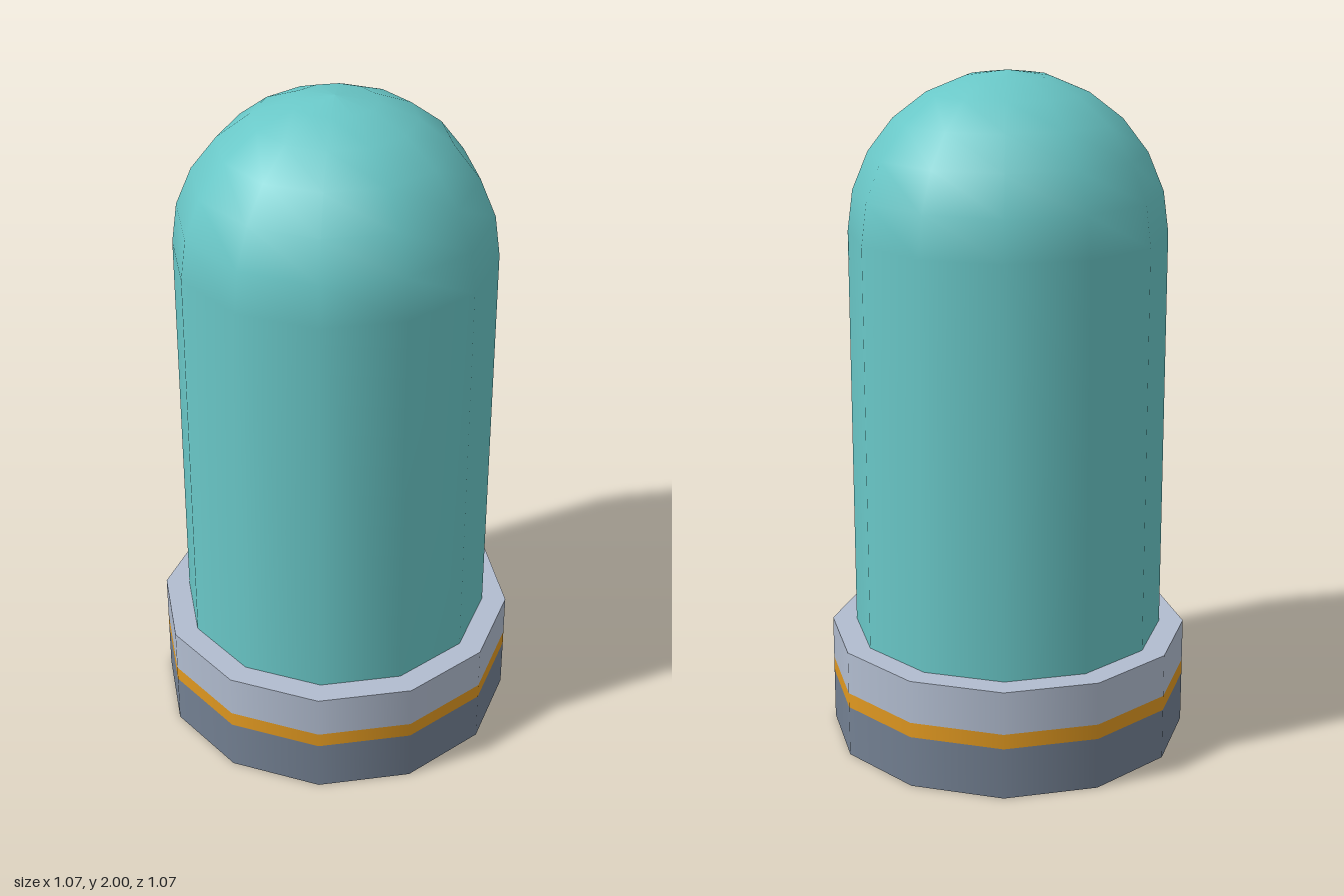
import * as THREE from 'three';

const SIDES = 12;
const R_TUBE = 0.464, R_BASE = 0.537;
const Y_RIM = 0.328, Y_STRIPE_TOP = 0.199, Y_STRIPE_LOW = 0.154;

function material(name, color) {
  const m = new THREE.MeshStandardMaterial({ color, side: THREE.DoubleSide });
  m.name = name;
  return m;
}

// Open shell turned around y from [radius, height] pairs, bottom to top
function shell(name, profile, mat) {
  const points = profile.map(([r, y]) => new THREE.Vector2(r, y));
  const mesh = new THREE.Mesh(new THREE.LatheGeometry(points, SIDES), mat);
  mesh.name = name;
  return mesh;
}

export function createModel() {
  const teal = material('teal glass', 0x69c7c7);
  const lightGrey = material('light grey', 0xb1bccf);
  const darkGrey = material('dark grey', 0x738092);
  const orange = material('orange', 0xe09820);

  const model = new THREE.Group();
  model.name = 'domedCapsule';

  // Tube closed by a hemispherical dome, open at the bottom
  const domeStart = 2 - R_TUBE;
  const capsule = [[R_TUBE, Y_RIM]];
  for (let i = 0; i <= 6; i++) {
    const a = (i / 6) * Math.PI / 2;
    capsule.push([i === 6 ? 0 : R_TUBE * Math.cos(a), domeStart + R_TUBE * Math.sin(a)]);
  }
  model.add(shell('domedTube', capsule, teal));

  // Hollow base collar in three bands, with a flat rim up to the tube
  const band = (name, low, high, mat) =>
    model.add(shell(name, [[R_BASE, low], [R_BASE, high]], mat));
  band('lowerCollar', 0, Y_STRIPE_LOW, darkGrey);
  band('collarStripe', Y_STRIPE_LOW, Y_STRIPE_TOP, orange);
  band('upperCollar', Y_STRIPE_TOP, Y_RIM, lightGrey);
  model.add(shell('collarRim', [[R_BASE, Y_RIM], [R_TUBE, Y_RIM]], lightGrey));

  return model;
}
